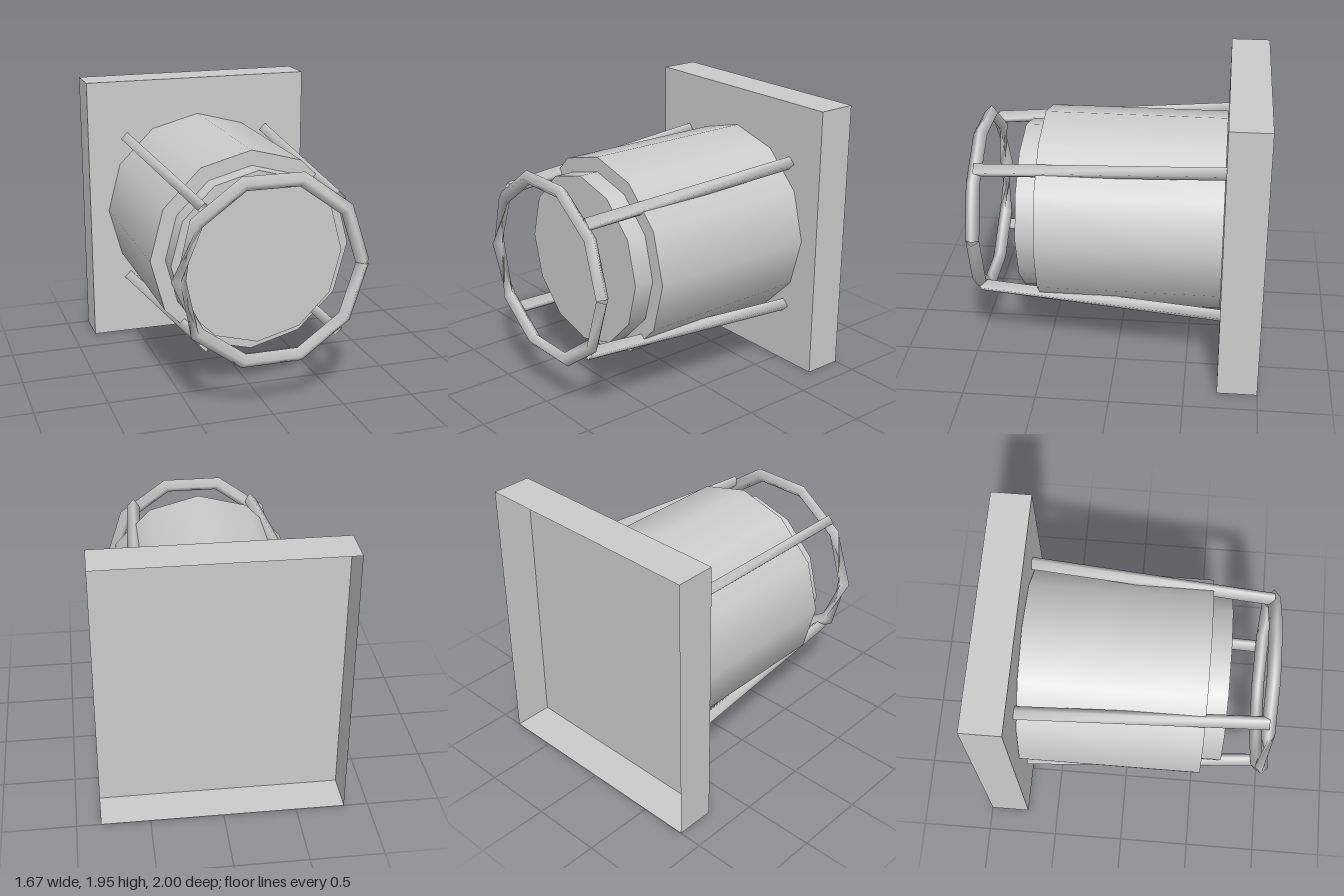
import * as THREE from 'three';

const CY = 0.98;       // height of the lamp axis
const PLATE_Z = -0.725; // front face of the wall plate
const BAR = 0.047;     // half diagonal of the square bars

// Skin a chain of equal-sized loops into an open tube with smooth normals.
function loft(loops) {
  const n = loops[0].length, index = [];
  for (let i = 0; i < loops.length - 1; i++) {
    for (let j = 0; j < n; j++) {
      const a = i * n + j, b = i * n + (j + 1) % n;
      index.push(a, b, a + n, b, b + n, a + n);
    }
  }
  const g = new THREE.BufferGeometry().setFromPoints(loops.flat());
  g.setIndex(index);
  g.computeVertexNormals();
  return g;
}

export function createModel() {
  const model = new THREE.Group();
  const grey = new THREE.MeshStandardMaterial({ color: 0xcccccc, side: THREE.DoubleSide });
  grey.name = 'grey metal';

  const add = (name, geometry) => {
    const mesh = new THREE.Mesh(geometry, grey);
    mesh.name = name;
    model.add(mesh);
    return mesh;
  };

  // Wall plate: a shallow tray, open at the back
  const plate = new THREE.BoxGeometry(1.67, 1.95, 0.275);
  plate.setIndex(Array.from(plate.index.array).slice(0, 30));
  plate.clearGroups();
  add('wallPlate', plate).position.set(0, 0.975, PLATE_Z - 0.1375);

  // Lamp body and its stepped front, twelve-sided
  const drum = (name, radius, z0, z1) => {
    const g = new THREE.CylinderGeometry(radius, radius, z1 - z0, 12).rotateX(Math.PI / 2);
    add(name, g).position.set(0, CY, (z0 + z1) / 2);
  };
  drum('lampBody', 0.698, PLATE_Z + 0.003, 0.53);
  drum('lampFront', 0.595, 0.5, 0.67);

  // Four square bars spreading from the guard ring back to the plate
  for (const sx of [1, -1]) {
    for (const sy of [1, -1]) {
      const square = (offset, z) => [0, 1, 2, 3].map(k => new THREE.Vector3(
        sx * offset + BAR * Math.cos(k * Math.PI / 2),
        CY + sy * offset + BAR * Math.sin(k * Math.PI / 2), z));
      add(`guardBar${sy > 0 ? 'Upper' : 'Lower'}${sx > 0 ? 'Left' : 'Right'}`,
        loft([square(0.541, PLATE_Z), square(0.447, 0.953)]));
    }
  }

  // Ten-sided guard ring of square bar, twisted on one side, with a small open joint
  const R = 0.6235, half = Math.PI / 10, loops = [];
  for (let i = 0; i <= 10; i++) {
    const angle = i * 2 * half;
    const end = i === 0 ? 1 : i === 10 ? -1 : 0;
    const out = angle + end * half;                 // joint ends are cut square
    const reach = end ? BAR : BAR / Math.cos(half); // the others are mitred
    const twist = i < 5 ? 0 : i === 5 ? Math.PI / 2 : Math.PI;
    loops.push([0, 1, 2, 3].map(k => {
      const t = k * Math.PI / 2 + twist, r = reach * Math.cos(t);
      return new THREE.Vector3(
        R * Math.cos(angle) + r * Math.cos(out),
        CY + R * Math.sin(angle) + r * Math.sin(out),
        0.953 - BAR * Math.sin(t));
    }));
  }
  // Loops run clockwise about the path, so reverse them to face outward
  add('guardRing', loft(loops.map(l => l.reverse())));

  return model;
}
